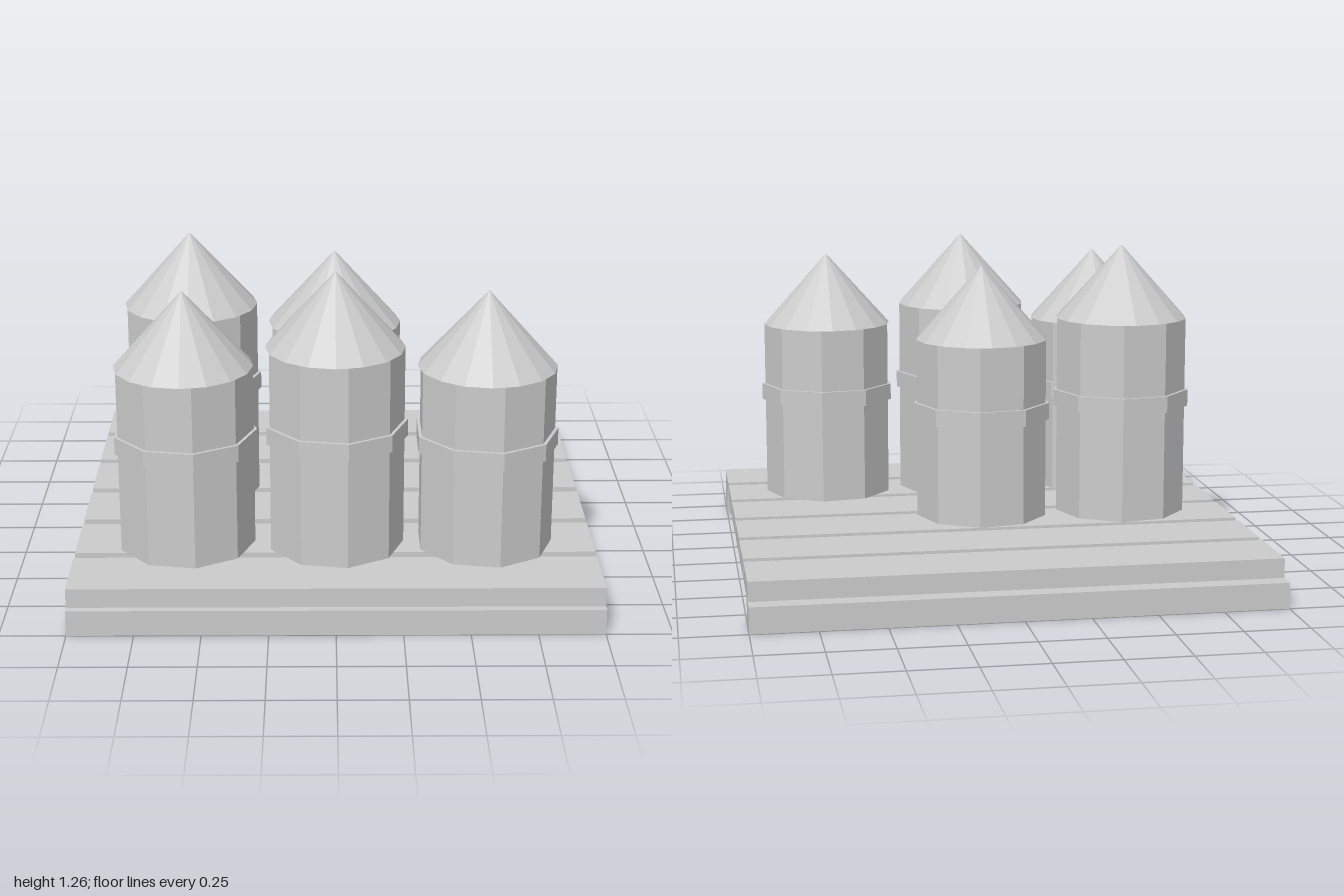
import * as THREE from 'three';

const material = new THREE.MeshStandardMaterial({ color: 0xcccccc, flatShading: true });

function addMesh(parent, name, geometry, x, y, z) {
  const mesh = new THREE.Mesh(geometry, material);
  mesh.name = name;
  mesh.position.set(x, y, z);
  parent.add(mesh);
  return mesh;
}

// Nine-sided drum with one corner pointing to +x
function drum(radius, height) {
  return new THREE.CylinderGeometry(radius, radius, height, 9, 1, false, Math.PI / 18);
}

// One silo: body, reinforcing band and conical roof, standing on the deck
function createSilo(x, z, eaves, bandY) {
  const deckTop = 0.175;
  const silo = new THREE.Group();
  silo.name = 'silo';
  silo.position.set(x, 0, z);
  addMesh(silo, 'siloBody', drum(0.264, eaves - deckTop), 0, (eaves + deckTop) / 2, 0);
  addMesh(silo, 'siloBand', drum(0.277, 0.067), 0, bandY, 0);
  addMesh(silo, 'siloRoof', new THREE.ConeGeometry(0.265, 0.295, 16), 0, eaves + 0.1475, 0);
  return silo;
}

export function createModel() {
  const model = new THREE.Group();
  model.name = 'siloPlatform';

  // Deck of six planks with gaps
  for (let i = 0; i < 6; i++) {
    addMesh(model, 'plank', new THREE.BoxGeometry(2, 0.075, 0.28), 0, 0.1375, 0.83 - i * 0.324);
  }

  // Runners under the front and back planks
  for (const side of [1, -1]) {
    addMesh(model, 'runner', new THREE.BoxGeometry(2, 0.1, 0.147), 0, 0.05, side * 0.9265);
  }

  // Alternating short and tall silos
  const silos = [
    [-0.575, 0.53, false], [0, 0.53, true], [0.575, 0.53, false],
    [-0.575, -0.022, true], [0, -0.022, false],
  ];
  for (const [x, z, tall] of silos) {
    model.add(createSilo(x, z, tall ? 0.97 : 0.895, tall ? 0.645 : 0.607));
  }
  return model;
}
